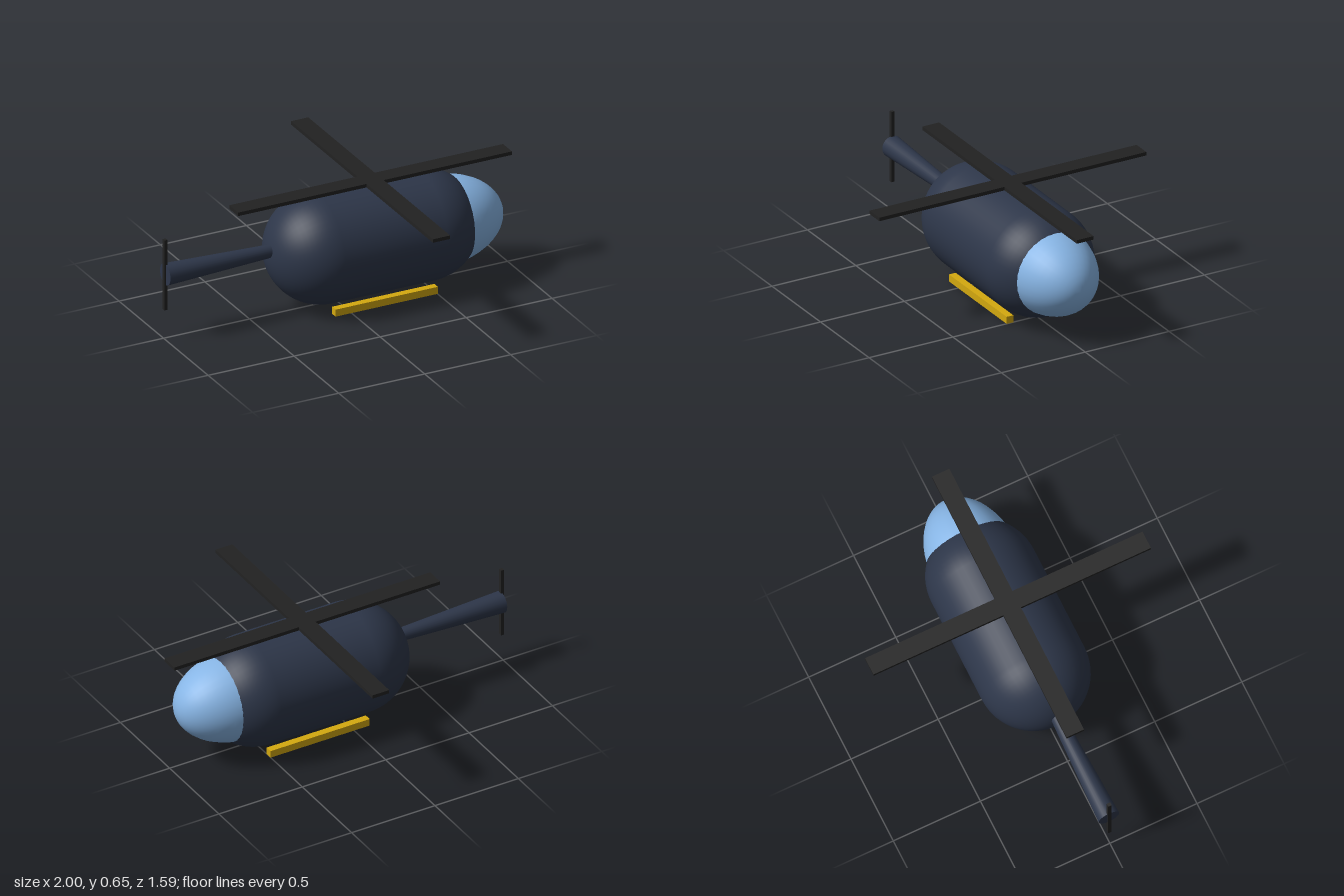
import * as THREE from 'three';

const paint = (name, color) => {
  const m = new THREE.MeshStandardMaterial({ color });
  m.name = name;
  return m;
};

export function createModel() {
  const navy = paint('navy', 0x2d3649);
  const glass = paint('sky blue', 0x87b5e5);
  const black = paint('black', 0x222222);
  const yellow = paint('yellow', 0xd4a90f);

  const model = new THREE.Group();
  model.name = 'helicopter';
  const add = (name, geometry, material, x, y, z = 0) => {
    const mesh = new THREE.Mesh(geometry, material);
    mesh.name = name;
    mesh.position.set(x, y, z);
    model.add(mesh);
    return mesh;
  };

  // Fuselage: a capsule lying along x
  const hull = new THREE.CapsuleGeometry(0.298, 0.595, 16, 48).rotateZ(Math.PI / 2);
  add('fuselage', hull, navy, 0.205, 0.322);

  // Cockpit: a stretched sphere pushed into the nose
  const dome = new THREE.SphereGeometry(1, 32, 24).rotateZ(-Math.PI / 2).scale(0.355, 0.238, 0.238);
  add('cockpitGlass', dome, glass, 0.6, 0.322);

  // Tail boom, widening to the rear
  const boom = new THREE.CylinderGeometry(0.059, 0.028, 0.79, 24).rotateZ(Math.PI / 2);
  add('tailBoom', boom, navy, -0.595, 0.363);
  add('tailRotor', new THREE.BoxGeometry(0.018, 0.4, 0.02), black, -0.991, 0.363);

  // Main rotor: two crossed blades
  add('rotorBladeLong', new THREE.BoxGeometry(1.592, 0.02, 0.1), black, 0.204, 0.64);
  add('rotorBladeCross', new THREE.BoxGeometry(0.1, 0.02, 1.592), black, 0.204, 0.64);

  // Landing skids
  for (const side of [-1, 1]) {
    add(side > 0 ? 'skidFront' : 'skidBack', new THREE.BoxGeometry(0.595, 0.04, 0.04), yellow, 0.204, 0.02, side * 0.16);
  }
  return model;
}
